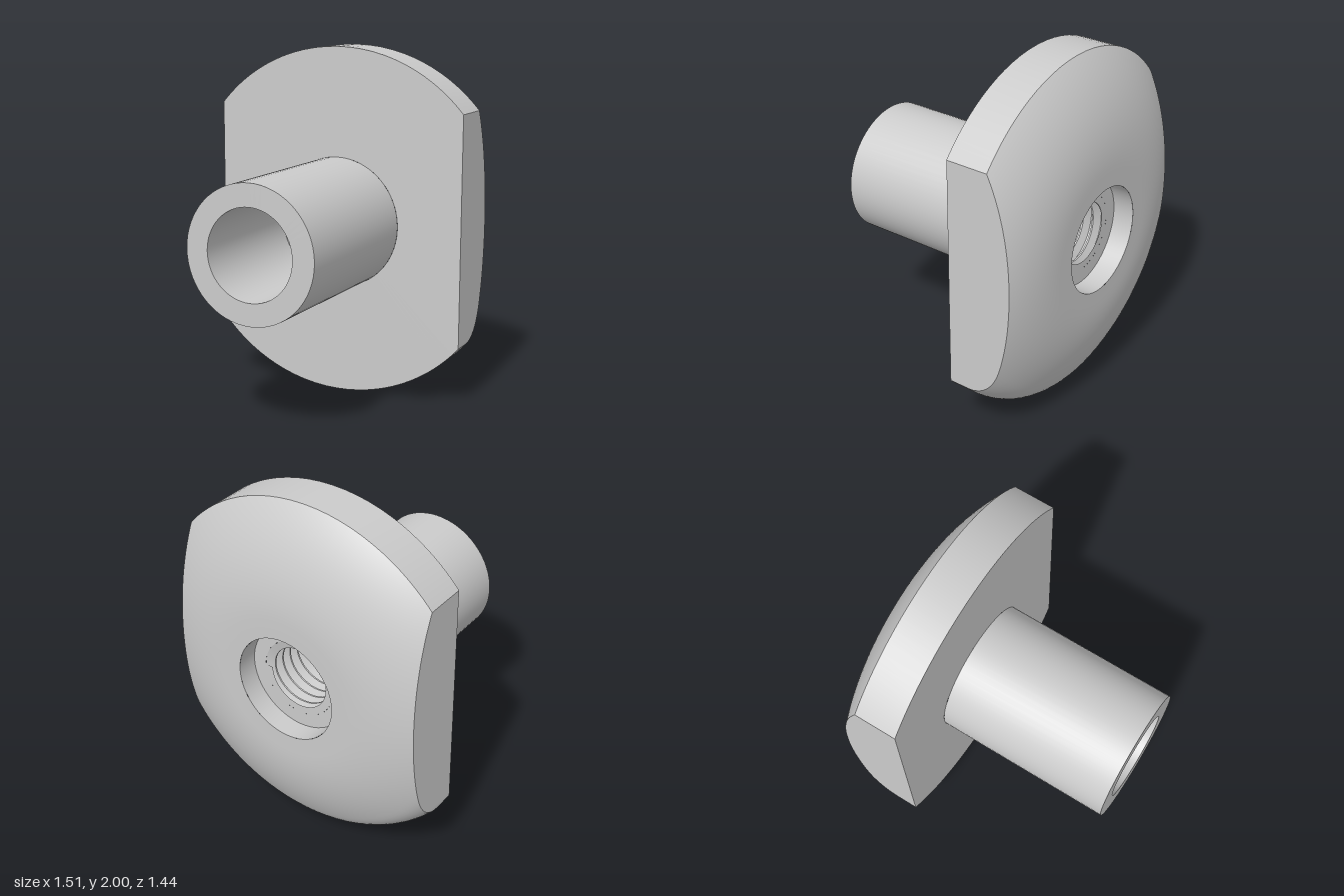
import * as THREE from 'three';
import { toCreasedNormals } from 'three/addons/utils/BufferGeometryUtils.js';

const material = new THREE.MeshStandardMaterial({ color: 0xcccccc });
const FLAT = 0.755, FACE = -0.28, BACK = -0.72, FLOOR = -0.6, STEP = -0.1;

// Skin a grid of cross-sections: point(i, j) -> [x, y, z]
function skin(rows, cols, point) {
  const pos = [], index = [];
  for (let i = 0; i <= rows; i++) {
    for (let j = 0; j <= cols; j++) {
      pos.push(...point(i, j));
      if (i === rows || j === cols) continue;
      const a = i * (cols + 1) + j, b = a + cols + 1;
      index.push(a, b, b + 1, a, b + 1, a + 1);
    }
  }
  const geometry = new THREE.BufferGeometry();
  geometry.setAttribute('position', new THREE.Float32BufferAttribute(pos, 3));
  geometry.setIndex(index);
  return geometry;
}

function part(name, geometry) {
  const mesh = new THREE.Mesh(toCreasedNormals(geometry, 0.45), material);
  mesh.name = name;
  return mesh;
}

// Depth of the domed back at radius r; the lower rim is filleted
function domeZ(r, lower) {
  if (r <= 0.4) return BACK;
  if (lower && r > 0.886) {
    const f = 0.222, d = Math.min(r - (1 - f), f);
    return -0.4 - Math.sqrt(f * f - d * d);
  }
  return FACE + 0.28 - Math.sqrt(1 - (r - 0.4) ** 2) + BACK + 1;
}

// Round head with two flat sides
function headGeometry() {
  const corner = Math.acos(FLAT), sector = 36, radial = 28;
  const bounds = [-corner, corner, Math.PI - corner, Math.PI + corner, 2 * Math.PI - corner];
  const angles = [];
  for (let s = 0; s < 4; s++) {
    for (let k = 0; k < sector; k++) {
      const t = (1 - Math.cos((k / sector) * Math.PI)) / 2;
      angles.push(THREE.MathUtils.lerp(bounds[s], bounds[s + 1], t));
    }
  }
  angles.push(bounds[4]);
  return skin(angles.length - 1, radial + 2, (i, j) => {
    const c = Math.cos(angles[i]), s = Math.sin(angles[i]);
    const rim = Math.min(1, FLAT / Math.max(Math.abs(c), 1e-6));
    let r = rim, z = FACE;
    if (j <= radial) {
      r = 0.3 + (rim - 0.3) * Math.sin((j / radial) * Math.PI / 2);
      z = domeZ(r, s < 0);
    } else if (j === radial + 2) r = 0.375;
    return [r * c, r * s, z];
  });
}

// Helical thread lining the hole, trimmed at both ends
function threadGeometry() {
  const pitch = 0.0625, perTurn = 48, turns = 9;
  const profile = [[0, 0.22], [0.15, 0.22], [0.5, 0.175], [0.65, 0.175], [1, 0.22]];
  return skin(perTurn * turns, profile.length - 1, (i, j) => {
    const turn = i / perTurn, angle = turn * 2 * Math.PI, [v, r] = profile[j];
    const z = THREE.MathUtils.clamp(STEP - (turn - 1 + v) * pitch, FLOOR, STEP);
    return [r * Math.cos(angle), r * Math.sin(angle), z];
  });
}

// Revolve a [radius, z] profile around the z axis
function revolve(profile) {
  const points = profile.map(([r, z]) => new THREE.Vector2(r, z));
  return new THREE.LatheGeometry(points, 64).rotateX(Math.PI / 2);
}

export function createModel() {
  const group = new THREE.Group();
  group.name = 'threadedTNut';
  group.add(
    part('head', headGeometry()),
    part('stem', revolve([[0.375, FACE], [0.375, 0.72], [0.25, 0.72], [0.25, STEP], [0.22, STEP]])),
    part('thread', threadGeometry()),
    part('counterbore', revolve([[0.22, FLOOR], [0.3, FLOOR], [0.3, BACK]])),
  );
  // Raise the axis so the head stands on the ground
  group.children.forEach((mesh) => { mesh.position.y = 1; });
  return group;
}
